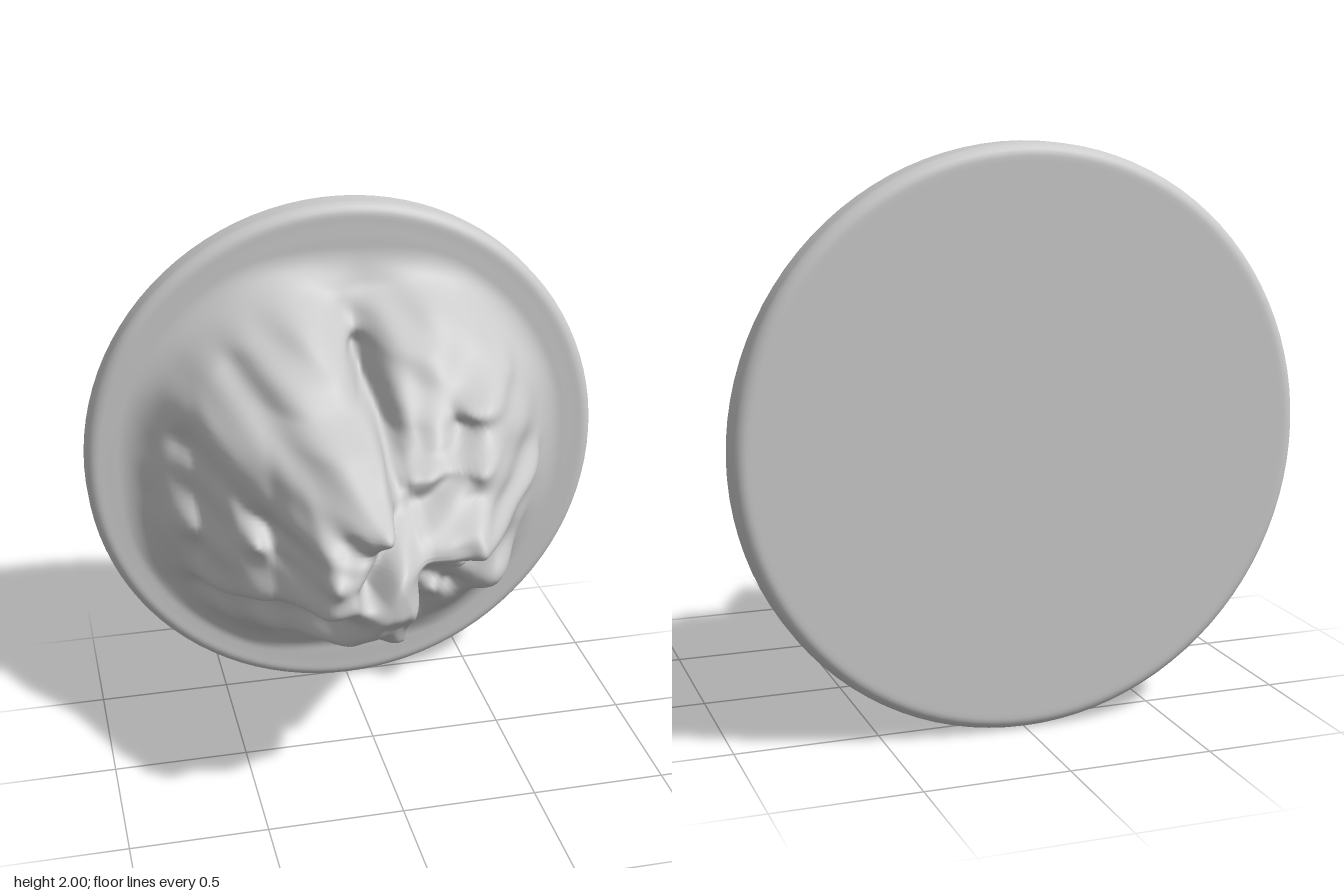
import * as THREE from 'three';

const lerp = THREE.MathUtils.lerp, step = THREE.MathUtils.smoothstep;

// Piecewise profile through [position, height] pairs, slightly smoothed
function linear(p, t) {
  if (t <= p[0][0]) return p[0][1];
  for (let i = 1; i < p.length; i++) {
    if (t <= p[i][0]) return lerp(p[i - 1][1], p[i][1], (t - p[i - 1][0]) / (p[i][0] - p[i - 1][0]));
  }
  return p[p.length - 1][1];
}
const profile = (p, t) => (linear(p, t - 0.015) + 2 * linear(p, t) + linear(p, t + 0.015)) / 4;

function softMin(a, b, k) {
  const h = Math.max(k - Math.abs(a - b), 0) / k;
  return Math.min(a, b) - h * h * k / 4;
}

// Skylines of the mountain: across, up the main crag, up the lower shoulder, and by radius
const across = [[-0.95, -0.7], [-0.8, -0.47], [-0.72, -0.33], [-0.61, -0.19], [-0.58, -0.05], [-0.53, 0.1],
  [-0.47, 0.15], [-0.4, 0.21], [-0.32, 0.42], [-0.28, 0.6], [-0.21, 0.6], [-0.14, 0.64], [-0.05, 0.61], [0.03, 0.53],
  [0.11, 0.42], [0.19, 0.43], [0.3, 0.39], [0.38, 0.26], [0.48, 0.1], [0.68, -0.19], [0.75, -0.36], [0.82, -0.48],
  [0.95, -0.7]];
const crag = [[0.1, -0.7], [0.23, -0.45], [0.35, -0.32], [0.46, -0.18], [0.53, -0.02], [0.6, 0.18], [0.65, 0.35],
  [0.77, 0.47], [0.84, 0.58], [0.92, 0.6], [1, 0.64], [1.09, 0.56], [1.16, 0.63], [1.25, 0.47], [1.35, 0.31],
  [1.41, 0.12], [1.5, 0], [1.55, -0.1], [1.63, -0.25], [1.7, -0.4], [1.78, -0.52], [1.9, -0.7]];
const shoulder = [[0.1, -0.7], [0.23, -0.47], [0.35, -0.36], [0.5, -0.24], [0.6, -0.14], [0.7, -0.06], [0.78, 0.04],
  [0.86, 0.14], [0.92, 0.33], [0.97, 0.45], [1.05, 0.37], [1.12, 0.28], [1.21, 0.25], [1.24, 0.15], [1.31, 0.03],
  [1.39, 0], [1.53, -0.14], [1.63, -0.29], [1.7, -0.43], [1.78, -0.54], [1.9, -0.7]];
const cone = [[0, 0.75], [0.25, 0.62], [0.45, 0.28], [0.6, 0.0], [0.72, -0.24], [0.8, -0.44], [0.93, -0.7]];

// Ridges (positive) and gullies (negative): height, width, path
const creases = [
  [-0.17, 0.05, [[0, 1.5], [0.03, 1.3], [-0.01, 1.12], [-0.13, 0.95]]],
  [-0.13, 0.09, [[0, 1.6], [0.01, 1.42]]],
  [-0.13, 0.08, [[-0.24, 0.79], [-0.4, 0.68], [-0.58, 0.58]]],
  [0.06, 0.06, [[-0.2, 0.93], [-0.4, 0.82], [-0.6, 0.68]]],
  [-0.1, 0.1, [[0.2, 0.45], [0.33, 0.6], [0.62, 0.8]]],
  [0.04, 0.06, [[-0.12, 0.76], [-0.2, 0.6], [-0.34, 0.43]]],
  [0.04, 0.06, [[-0.06, 0.74], [0.02, 0.6], [0.14, 0.36]]],
  [0.05, 0.05, [[0.32, 0.98], [0.5, 1.0], [0.7, 1.02]]],
  [-0.06, 0.05, [[0.12, 1.12], [0.28, 1.2], [0.32, 1.3]]],
  [0.05, 0.06, [[0.14, 1.3], [0.36, 1.34], [0.55, 1.42]]],
  [-0.05, 0.06, [[-0.2, 1.15], [-0.32, 1.3], [-0.45, 1.5]]],
  [-0.05, 0.06, [[-0.4, 1.04], [-0.5, 1.12], [-0.65, 1.18]]],
];

// Single knobs and hollows: x, y, height, width
const knobs = [[0.3, 0.77, 0.09, 0.05], [0.29, 0.48, 0.08, 0.05], [0.54, 0.55, 0.1, 0.1], [0.39, 0.5, -0.05, 0.04],
  [-0.47, 0.99, 0.06, 0.04], [-0.26, 1.0, 0.05, 0.035], [-0.07, 1.16, 0.05, 0.035], [-0.37, 0.95, -0.05, 0.04],
  [-0.66, 0.9, 0.06, 0.06], [0.34, 1.35, 0.04, 0.04], [-0.22, 1.62, 0.04, 0.1]];

function pathDistance(path, x, y) {
  let best = Infinity;
  for (let i = 1; i < path.length; i++) {
    const [ax, ay] = path[i - 1], dx = path[i][0] - ax, dy = path[i][1] - ay;
    const t = THREE.MathUtils.clamp(((x - ax) * dx + (y - ay) * dy) / (dx * dx + dy * dy), 0, 1);
    best = Math.min(best, Math.hypot(x - ax - t * dx, y - ay - t * dy));
  }
  return best;
}

function height(x, y) {
  const edge = lerp(0.02, -0.06, step(y, 0.8, 1.05));
  const upward = lerp(profile(crag, y), profile(shoulder, y), step(x, edge, edge + 0.14));
  let h = softMin(profile(across, x), upward, 0.08);
  const r = Math.hypot(x + 0.01, y - 0.99), a = Math.atan2(y - 0.99, x);
  h = softMin(h, profile(cone, r), 0.12);
  for (const [amount, width, path] of creases) h += amount * Math.exp(-((pathDistance(path, x, y) / width) ** 2));
  for (const [kx, ky, amount, width] of knobs) {
    h += amount * Math.exp(-((x - kx) ** 2 + (y - ky) ** 2) / (width * width));
  }
  // weathering that runs down the slopes
  const fade = step(r, 0.1, 0.4) * (1 - step(r, 0.65, 0.85));
  h += fade * (0.014 * Math.sin(9 * a + 5 * r) + 0.01 * Math.sin(17 * a - 9 * r + 1) + 0.008 * Math.sin(23 * x + 31 * y));
  // blunt the summit and flare softly onto the plate
  return -softMin(-softMin(h, 0.625, 0.05), 0.457, 0.16);
}

function createRelief() {
  const rings = 130, sides = 200, radius = 0.945, pos = [0, 1, height(0, 1)], index = [];
  for (let i = 1; i <= rings; i++) {
    for (let j = 0; j < sides; j++) {
      const r = radius * i / rings, a = j / sides * Math.PI * 2;
      const x = r * Math.cos(a), y = 1 + r * Math.sin(a);
      pos.push(x, y, lerp(height(x, y), -0.459, step(r, 0.86, 0.94)));
    }
  }
  for (let j = 0; j < sides; j++) {
    const k = (j + 1) % sides;
    index.push(0, 1 + j, 1 + k);
    for (let i = 0; i < rings - 1; i++) {
      const a = 1 + i * sides + j, b = 1 + i * sides + k;
      index.push(a, a + sides, b + sides, a, b + sides, b);
    }
  }
  const geo = new THREE.BufferGeometry();
  geo.setAttribute('position', new THREE.Float32BufferAttribute(pos, 3));
  geo.setIndex(index);
  geo.computeVertexNormals();
  return geo;
}

export function createModel() {
  const model = new THREE.Group();
  const material = new THREE.MeshStandardMaterial({ color: 0xcccccc });

  // Round plate with softened rims, standing on edge
  const back = -0.615, front = -0.46, c = 0.045;
  const rim = [new THREE.Vector2(0, back), new THREE.Vector2(0.94, back)];
  for (const [start, z] of [[-Math.PI / 2, back + c], [0, front - c]]) {
    for (let i = 0; i <= 6; i++) {
      const a = start + i / 6 * Math.PI / 2;
      rim.push(new THREE.Vector2(1 - c + c * Math.cos(a), z + c * Math.sin(a)));
    }
  }
  rim.push(new THREE.Vector2(0.94, front), new THREE.Vector2(0, front));
  const plate = new THREE.Mesh(new THREE.LatheGeometry(rim, 96).rotateX(Math.PI / 2), material);
  plate.name = 'plate';
  plate.position.y = 1;

  // Craggy mountain rising toward the front
  const mountain = new THREE.Mesh(createRelief(), material);
  mountain.name = 'mountain';

  model.add(plate, mountain);
  return model;
}
